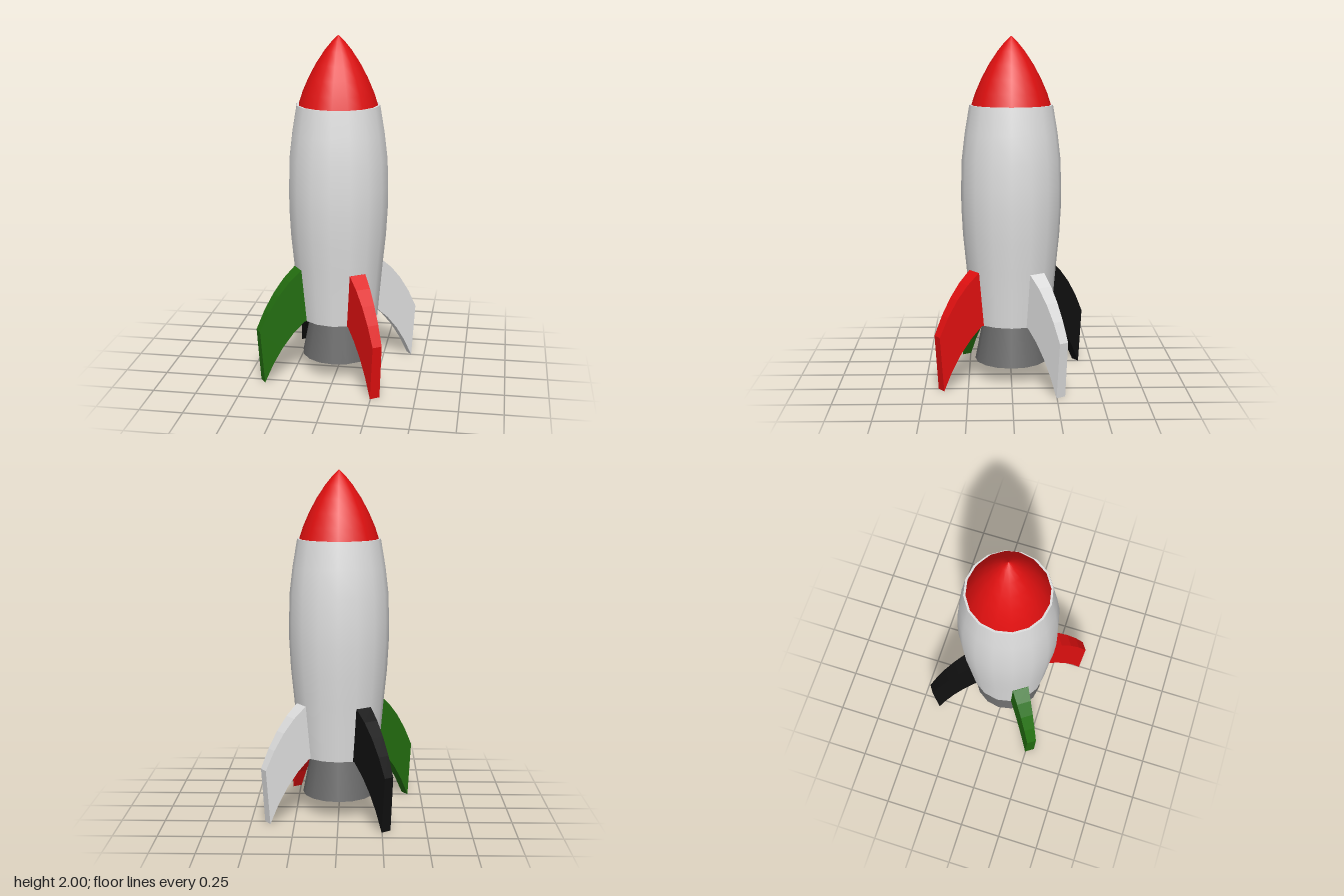
import * as THREE from 'three';
import { mergeGeometries } from 'three/addons/utils/BufferGeometryUtils.js';

const SIDES = 16;
const paint = (name, color) => {
  const m = new THREE.MeshStandardMaterial({ color });
  m.name = name;
  return m;
};

// Merges several turned profiles; the seams between profiles stay sharp.
function turned(name, material, ...profiles) {
  const parts = profiles.map(
    (p) => new THREE.LatheGeometry(p.map(([r, y]) => new THREE.Vector2(r, y)), SIDES)
  );
  const mesh = new THREE.Mesh(mergeGeometries(parts), material);
  mesh.name = name;
  return mesh;
}

// Curved fin, thick at the root and thin at the tip.
function finGeometry() {
  const s = new THREE.Shape();
  s.moveTo(0.21, 0.35);
  s.lineTo(0.24, 0.35);
  s.quadraticCurveTo(0.39, 0.23, 0.487, 0);
  s.lineTo(0.512, 0.32);
  s.quadraticCurveTo(0.41, 0.555, 0.26, 0.665);
  s.lineTo(0.21, 0.665);
  s.closePath();
  const g = new THREE.ExtrudeGeometry(s, { depth: 1, bevelEnabled: false, curveSegments: 4 });
  g.translate(0, 0, -0.5);
  const p = g.attributes.position;
  for (let i = 0; i < p.count; i++) {
    p.setZ(i, p.getZ(i) * (0.1 - 0.165 * (p.getX(i) - 0.25)));
  }
  g.computeVertexNormals();
  return g;
}

export function createModel() {
  const white = paint('white', 0xdedede);
  const red = paint('red', 0xe01010);
  const green = paint('green', 0x236e10);
  const black = paint('black', 0x101010);
  const darkGrey = paint('dark grey', 0x6a6a6a);
  const rocket = new THREE.Group();
  rocket.name = 'rocket';

  // Barrel-shaped hull with flat ends
  rocket.add(turned('hull', white,
    [[0, 0.35], [0.235, 0.35]],
    [[0.235, 0.35], [0.25, 0.52], [0.264, 0.68], [0.281, 0.85], [0.29, 1.02],
      [0.29, 1.14], [0.285, 1.3], [0.267, 1.45], [0.24, 1.61]],
    [[0.24, 1.61], [0, 1.61]]));

  // Pointed nose
  rocket.add(turned('noseCone', red,
    [[0.228, 1.61], [0.205, 1.68], [0.17, 1.76], [0.127, 1.84], [0.078, 1.914],
      [0.035, 1.967], [0, 2]]));

  // Hollow, flared nozzle
  rocket.add(turned('nozzle', darkGrey,
    [[0.213, 0.105], [0.165, 0.35]],
    [[0.178, 0.105], [0.213, 0.105]],
    [[0.135, 0.35], [0.178, 0.105]]));

  // Four fins, a quarter turn apart
  const fin = finGeometry();
  [[red, 'redFin'], [green, 'greenFin'], [black, 'blackFin'], [white, 'whiteFin']]
    .forEach(([material, name], i) => {
      const mesh = new THREE.Mesh(fin, material);
      mesh.name = name;
      mesh.rotation.y = THREE.MathUtils.degToRad(-56 - 90 * i);
      rocket.add(mesh);
    });

  return rocket;
}
